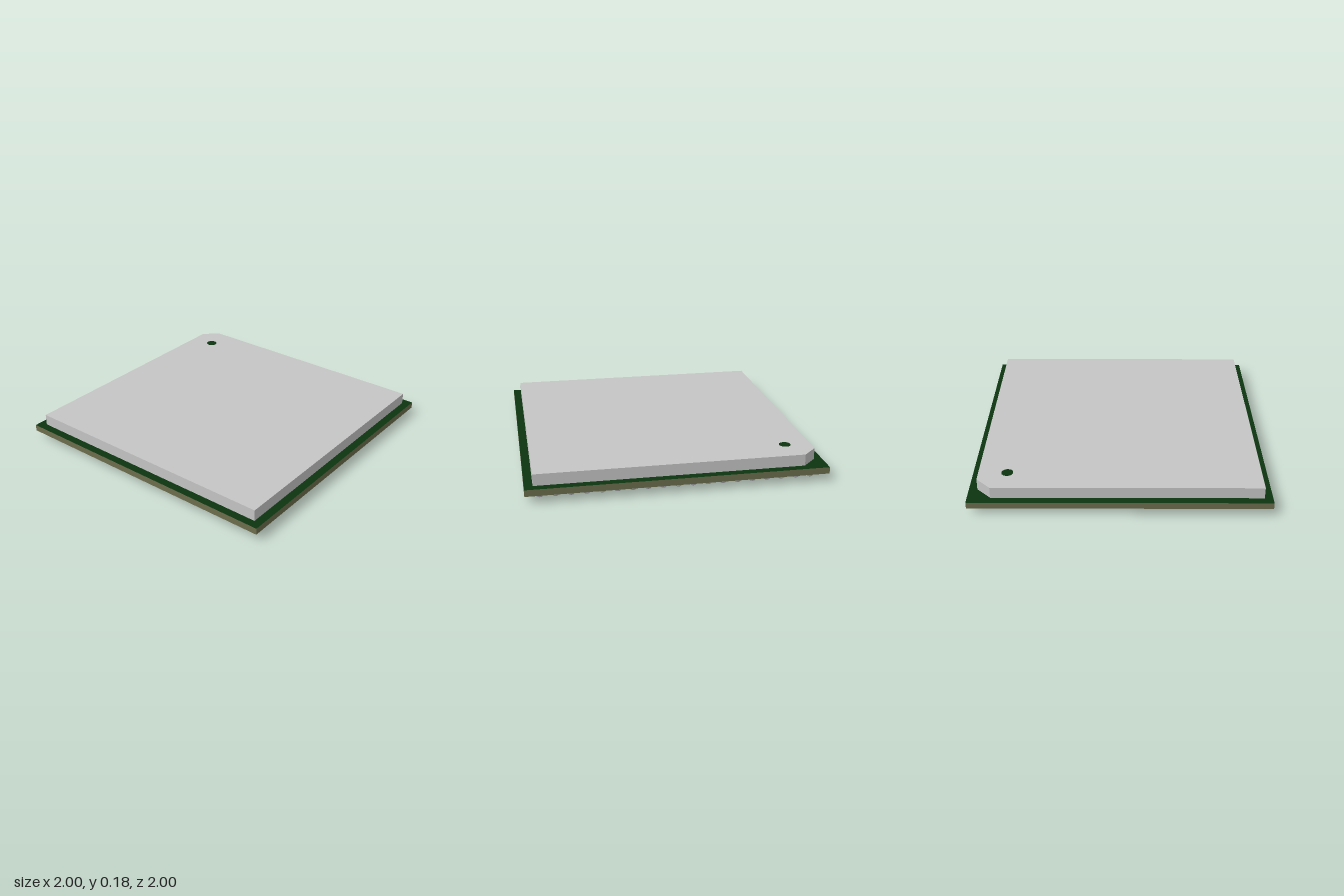
import * as THREE from 'three';
import { mergeGeometries } from 'three/addons/utils/BufferGeometryUtils.js';

const mat = (name, color) => Object.assign(new THREE.MeshStandardMaterial({ color }), { name });

export function createModel() {
  const group = new THREE.Group();
  const laminate = mat('olive laminate', 0x6c6d4c);
  const mask = mat('dark green solder mask', 0x0b340f);
  const lidGrey = mat('light grey lid', 0xc5c5c5);
  const solder = mat('solder silver', 0xc8c8c8);

  const add = (name, geometry, material) => {
    const mesh = new THREE.Mesh(geometry, material);
    mesh.name = name;
    group.add(mesh);
    return mesh;
  };

  // Substrate: green top face, bare laminate on the sides and underneath
  add('substrate', new THREE.BoxGeometry(2, 0.045, 2),
    [laminate, laminate, mask, laminate, laminate, laminate]).position.y = 0.0765;

  // Lid with one chamfered corner (back right)
  const h = 0.944, cut = 0.097;
  const outline = new THREE.Shape([
    [-h, -h], [h, -h], [h, h], [-h + cut, h], [-h, h - cut],
  ].map(([x, y]) => new THREE.Vector2(x, y)));
  const lid = new THREE.ExtrudeGeometry(outline, { depth: 0.079, bevelEnabled: false });
  lid.rotateX(-Math.PI / 2);
  add('lid', lid, lidGrey).position.y = 0.099;

  // Orientation dot beside the chamfer
  add('orientationDot', new THREE.CylinderGeometry(0.04, 0.04, 0.003, 12), mask)
    .position.set(-0.767, 0.1785, -0.75);

  // Solder ball grid; the outer row on the left side is only partly filled
  const ball = new THREE.SphereGeometry(0.031, 14, 10);
  const balls = [];
  for (let i = 0; i < 19; i++) {
    for (let k = 0; k < 19; k++) {
      if (i === 18 && k % 2 === 0 && k !== 0 && k !== 18) continue;
      balls.push(ball.clone().translate((i - 9) * 0.1, 0.031, (k - 9) * 0.1));
    }
  }
  add('solderBalls', mergeGeometries(balls), solder);

  return group;
}
